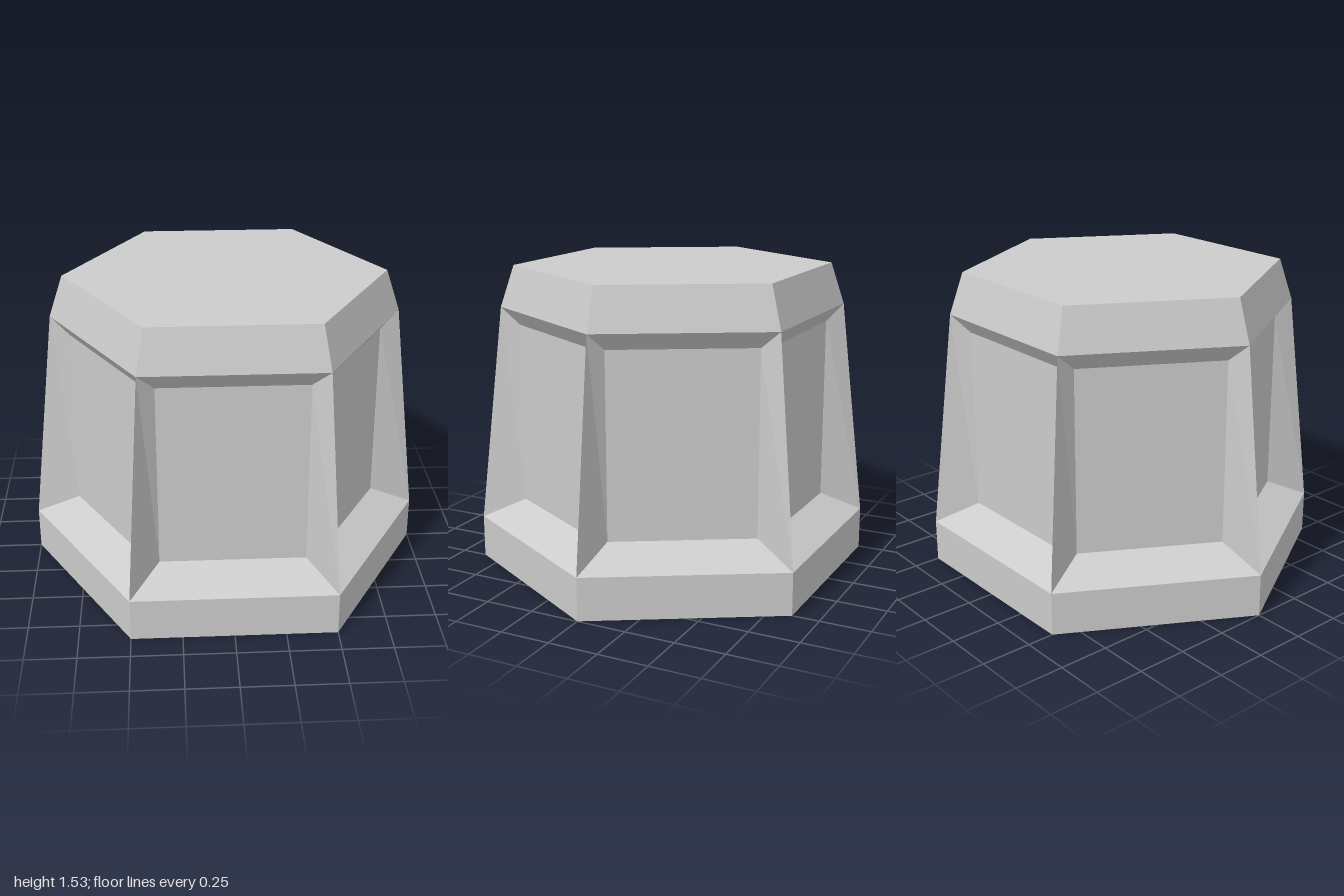
import * as THREE from 'three';

const SIDES = 6;
const BASE_TOP = 0.215, CAP_BOTTOM = 1.325, TOP = 1.535;
const R_BASE = 1, R_CAP = 0.87, R_TOP = 0.8;
const PANEL = { halfWidth: 0.355, bottom: 0.32, top: 1.24, depth: 0.69 };

const material = new THREE.MeshStandardMaterial({ color: 0xcccccc, flatShading: true });

function mesh(name, geometry) {
  const m = new THREE.Mesh(geometry, material);
  m.name = name;
  return m;
}

// Open hexagonal band with a flat side facing +z
function band(name, rBottom, rTop, y0, y1) {
  const g = new THREE.CylinderGeometry(rTop, rBottom, y1 - y0, SIDES, 1, true, Math.PI / 6);
  return mesh(name, g.translate(0, (y0 + y1) / 2, 0));
}

// Flat hexagonal lid, facing up or down
function lid(name, radius, y, up) {
  const g = new THREE.CircleGeometry(radius, SIDES);
  return mesh(name, g.rotateX(up ? -Math.PI / 2 : Math.PI / 2).translate(0, y, 0));
}

// Corners of a rectangle or trapezoid, counter-clockwise from lower left
function corners(w0, y0, z0, w1, y1, z1) {
  return [[-w0, y0, z0], [w0, y0, z0], [w1, y1, z1], [-w1, y1, z1]];
}

function quads(list) {
  const positions = [];
  for (const [a, b, c, d] of list) positions.push(...a, ...b, ...c, ...a, ...c, ...d);
  const g = new THREE.BufferGeometry();
  g.setAttribute('position', new THREE.Float32BufferAttribute(positions, 3));
  g.computeVertexNormals();
  return g;
}

export function createModel() {
  const group = new THREE.Group();
  group.name = 'hexagonalBlock';

  // Straight plinth and tapered cap
  group.add(
    lid('underside', R_BASE, 0, false),
    band('plinth', R_BASE, R_BASE, 0, BASE_TOP),
    band('cap', R_CAP, R_TOP, CAP_BOTTOM, TOP),
    lid('capTop', R_TOP, TOP, true)
  );

  // Recessed panel and its four bevels, repeated on each side
  const apothem = Math.cos(Math.PI / 6);
  const outer = corners(R_BASE / 2, BASE_TOP, R_BASE * apothem, R_CAP / 2, CAP_BOTTOM, R_CAP * apothem);
  const { halfWidth, bottom, top, depth } = PANEL;
  const inner = corners(halfWidth, bottom, depth, halfWidth, top, depth);
  const bevelGeometry = quads(outer.map((p, i) => {
    const j = (i + 1) % 4;
    return [p, outer[j], inner[j], inner[i]];
  }));
  const panelGeometry = quads([inner]);

  for (let i = 0; i < SIDES; i++) {
    const side = new THREE.Group();
    side.name = 'side' + (i + 1);
    side.add(mesh('bevelFrame', bevelGeometry), mesh('recessedPanel', panelGeometry));
    side.rotation.y = (i * Math.PI * 2) / SIDES;
    group.add(side);
  }
  return group;
}
